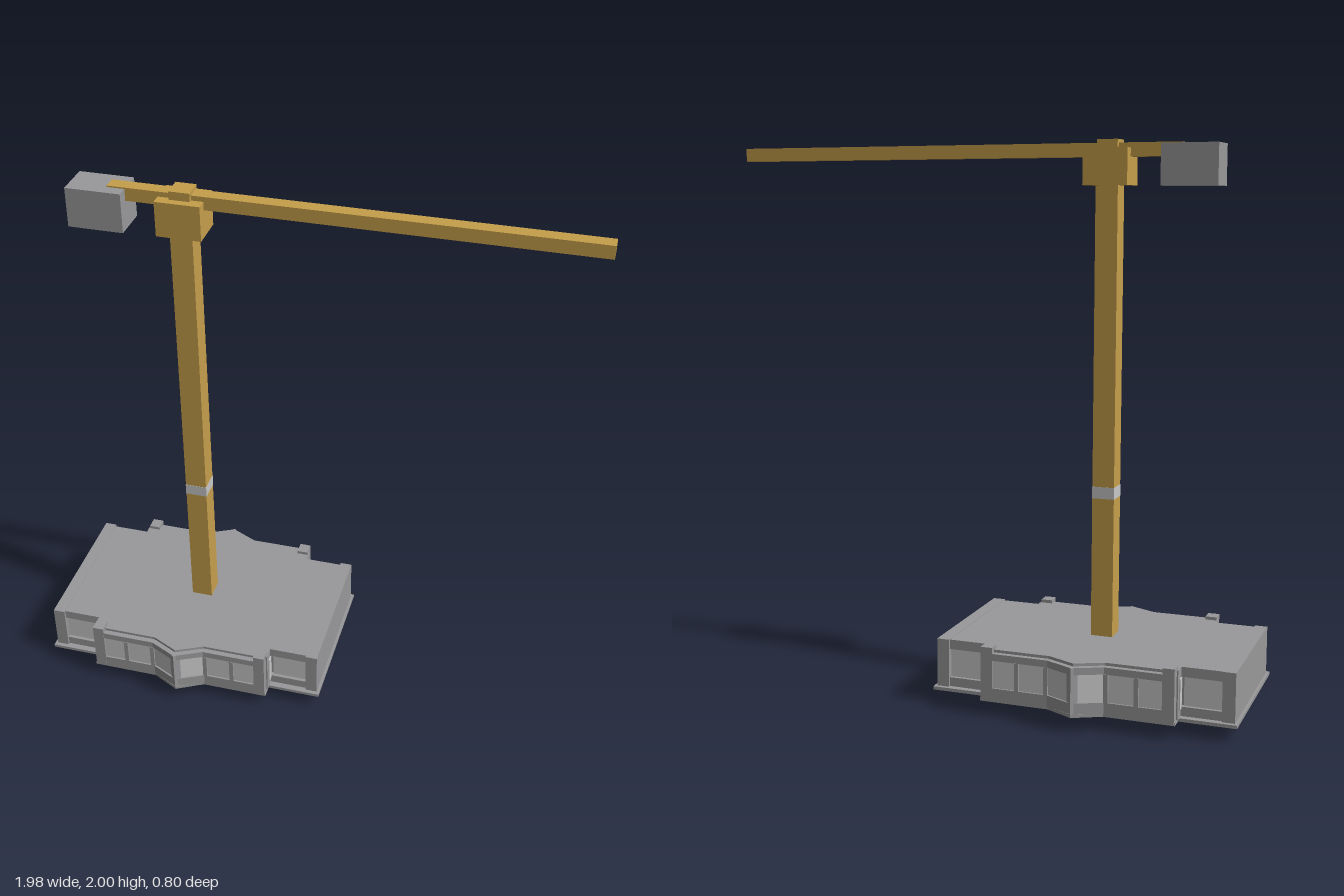
import * as THREE from 'three';

const mat = (name, color) => {
  const m = new THREE.MeshStandardMaterial({ color });
  m.name = name;
  return m;
};

export function createModel() {
  const gold = mat('crane yellow', 0xc69f4b);
  const grey = mat('concrete grey', 0x99999b);
  const pale = mat('pale glass', 0xc9c9ca);
  const model = new THREE.Group();
  model.name = 'towerCrane';
  const crane = new THREE.Group();
  crane.name = 'crane';
  const base = new THREE.Group();
  base.name = 'baseBuilding';
  // both share the mast axis
  crane.position.x = base.position.x = -0.44;
  model.add(crane, base);

  const add = (parent, name, geo, material) => {
    const m = new THREE.Mesh(geo, material);
    m.name = name;
    parent.add(m);
    return m;
  };
  // box given by its lower and upper bounds
  const box = (parent, name, material, x0, x1, y0, y1, z0, z1) => {
    const m = add(parent, name, new THREE.BoxGeometry(x1 - x0, y1 - y0, z1 - z0), material);
    m.position.set((x0 + x1) / 2, (y0 + y1) / 2, (z0 + z1) / 2);
    return m;
  };
  // wall strip between two plan points
  const wall = (parent, name, material, a, b, y0, y1, thick) => {
    const dx = b[0] - a[0], dz = b[1] - a[1];
    const m = add(parent, name, new THREE.BoxGeometry(Math.hypot(dx, dz), y1 - y0, thick), material);
    m.position.set((a[0] + b[0]) / 2, (y0 + y1) / 2, (a[1] + b[1]) / 2);
    m.rotation.y = -Math.atan2(dz, dx);
  };
  // prism from a quarter plan outline, mirrored to all four quadrants
  const prism = (name, quarter, y0, y1) => {
    const back = [...quarter].reverse();
    const pts = [
      ...quarter,
      ...back.map(([x, z]) => [-x, z]),
      ...quarter.map(([x, z]) => [-x, -z]),
      ...back.map(([x, z]) => [x, -z]),
    ].filter(([x, z], i, all) => i === 0 || x !== all[i - 1][0] || z !== all[i - 1][1]);
    const shape = new THREE.Shape(pts.map(([x, z]) => new THREE.Vector2(x, z)));
    const geo = new THREE.ExtrudeGeometry(shape, { depth: y1 - y0, bevelEnabled: false });
    geo.rotateX(Math.PI / 2).translate(0, y1, 0);
    add(base, name, geo, grey);
  };

  // crane: mast, band, head, jib and counterweight
  box(crane, 'mast', gold, -0.04, 0.04, 0.22, 1.86, -0.04, 0.04);
  box(crane, 'mastBand', pale, -0.041, 0.041, 0.74, 0.782, -0.041, 0.041);
  box(crane, 'slewingHead', gold, -0.08, 0.08, 1.843, 1.97, -0.066, 0.066);
  box(crane, 'headCap', gold, -0.037, 0.037, 1.96, 2.0, -0.038, 0.038);
  box(crane, 'jib', gold, -0.26, 1.43, 1.94, 1.988, -0.025, 0.025);
  box(crane, 'counterweight', grey, -0.395, -0.197, 1.84, 1.983, -0.068, 0.068);

  // floor slab, solid core and end walls
  prism('floorSlab', [[0.55, 0.3], [0.35, 0.3], [0.35, 0.348], [0.1, 0.348], [0, 0.4]], 0.05, 0.062);
  prism('core', [[0.538, 0.258], [0.33, 0.258], [0.33, 0.328], [0.1, 0.328], [0, 0.376]], 0.06, 0.235);
  for (const s of [-1, 1]) {
    const [x0, x1] = s < 0 ? [-0.54, -0.495] : [0.495, 0.54];
    box(base, 'endWall', grey, x0, x1, 0.06, 0.237, -0.285, 0.285);
  }

  // both facades: the back is the front turned half round
  for (const turn of [0, Math.PI]) {
    const f = new THREE.Group();
    f.name = turn ? 'backFacade' : 'frontFacade';
    f.rotation.y = turn;
    base.add(f);
    for (const s of [-1, 1]) {
      const sb = (name, m, a, b, ...r) => box(f, name, m, Math.min(s * a, s * b), Math.max(s * a, s * b), ...r);
      // recessed outer bay
      sb('outerWindow', pale, 0.36, 0.496, 0.095, 0.2, 0.257, 0.263);
      sb('outerSill', grey, 0.35, 0.496, 0.06, 0.095, 0.255, 0.276);
      sb('outerLintel', grey, 0.35, 0.496, 0.2, 0.235, 0.255, 0.276);
      sb('returnWall', grey, 0.33, 0.352, 0.06, 0.235, 0.25, 0.32);
      sb('returnWindow', pale, 0.351, 0.356, 0.09, 0.2, 0.278, 0.303);
      sb('pillar', grey, 0.305, 0.347, 0.055, 0.247, 0.302, 0.35);
      // folded middle bay
      const path = [[s * 0.31, 0.337], [s * 0.1, 0.337], [0, 0.385]];
      for (let i = 0; i < 2; i++) {
        const a = path[i], b = path[i + 1];
        wall(f, 'bayWindow', pale, a, b, 0.1, 0.2, 0.009);
        wall(f, 'baySill', grey, a, b, 0.06, 0.1, 0.022);
        wall(f, 'bayLintel', grey, a, b, 0.2, 0.225, 0.022);
      }
      for (const x of [0.215, 0.108]) sb('mullion', grey, x - 0.008, x + 0.008, 0.1, 0.2, 0.328, 0.35);
    }
    const post = box(f, 'centrePost', grey, -0.014, 0.014, 0.06, 0.225, 0.368, 0.396);
    post.rotation.y = Math.PI / 4;
  }

  // faceted boss under the slab
  const boss = new THREE.CylinderGeometry(0.085, 0.085, 0.02, 8).translate(0, 0.045, 0);
  const tip = new THREE.ConeGeometry(0.085, 0.035, 8).rotateX(Math.PI).translate(0, 0.0175, 0);
  for (const geo of [boss, tip]) {
    add(base, 'undersideBoss', geo.scale(1, 1, 0.6).toNonIndexed(), grey).geometry.computeVertexNormals();
  }
  return model;
}
